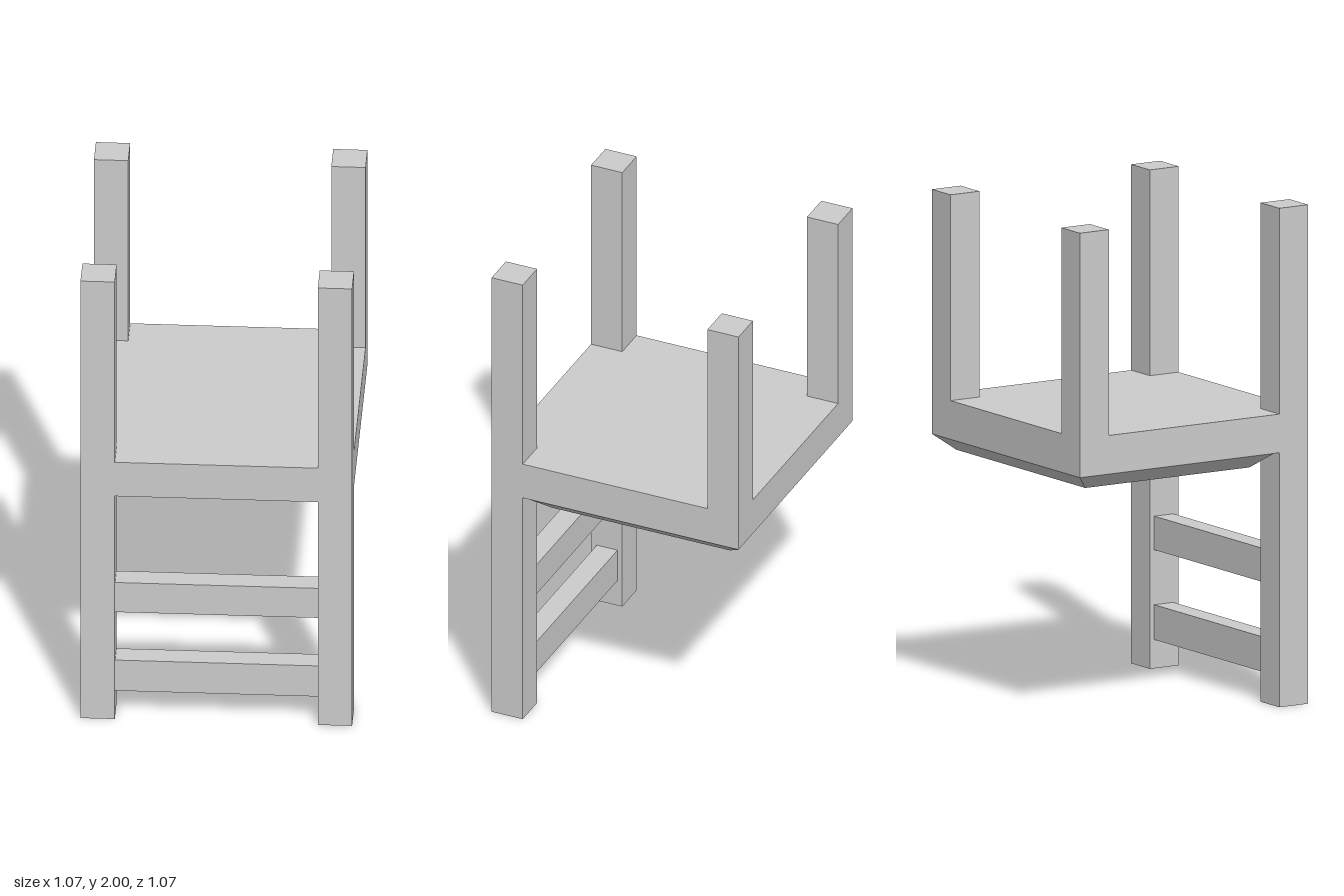
import * as THREE from 'three';

const OUT = 0.535; // outer half width
const IN = 0.4; // inner face of the posts

export function createModel() {
  const model = new THREE.Group();
  model.name = 'chairFrame';
  const material = new THREE.MeshStandardMaterial({ color: 0xcccccc, flatShading: true });

  const add = (name, geometry) => {
    const mesh = new THREE.Mesh(geometry, material);
    mesh.name = name;
    model.add(mesh);
    return mesh;
  };

  // Box given by its lower and upper limits on each axis
  const block = (name, [x0, x1], [y0, y1], [z0, z1]) =>
    add(name, new THREE.BoxGeometry(x1 - x0, y1 - y0, z1 - z0))
      .position.set((x0 + x1) / 2, (y0 + y1) / 2, (z0 + z1) / 2);

  // Posts: the front pair reaches the ground, the back pair starts at the seat
  for (const [side, xs] of [['left', [IN, OUT]], ['right', [-OUT, -IN]]]) {
    block(`${side}FrontPost`, xs, [0, 2], [IN, OUT]);
    block(`${side}BackPost`, xs, [1.02, 2], [-OUT, -IN]);
  }

  // Seat slab, notched at the corners to fit between the posts
  const outline = new THREE.Shape([
    [IN, OUT], [-IN, OUT], [-IN, IN], [-OUT, IN], [-OUT, -IN], [-IN, -IN],
    [-IN, -OUT], [IN, -OUT], [IN, -IN], [OUT, -IN], [OUT, IN], [IN, IN],
  ].map(([x, y]) => new THREE.Vector2(x, y)));
  const slab = new THREE.ExtrudeGeometry(outline, { depth: 0.155, bevelEnabled: false });
  slab.rotateX(-Math.PI / 2);
  add('seat', slab).position.y = 1.02;

  // Bevelled panel under the seat: a box whose lower corners are drawn inwards
  const panel = new THREE.BoxGeometry(2 * OUT, 0.06, 0.91);
  const p = panel.attributes.position;
  for (let i = 0; i < p.count; i++) {
    if (p.getY(i) > 0) continue;
    p.setX(i, p.getX(i) - Math.sign(p.getX(i)) * 0.07);
    p.setZ(i, p.getZ(i) - Math.sign(p.getZ(i)) * 0.07);
  }
  panel.computeVertexNormals();
  add('seatUnderside', panel).position.set(0, 0.99, -0.08);

  // Rungs between the front posts
  block('lowerRung', [-IN, IN], [0.115, 0.255], [0.42, 0.51]);
  block('upperRung', [-IN, IN], [0.475, 0.61], [0.42, 0.51]);

  return model;
}
